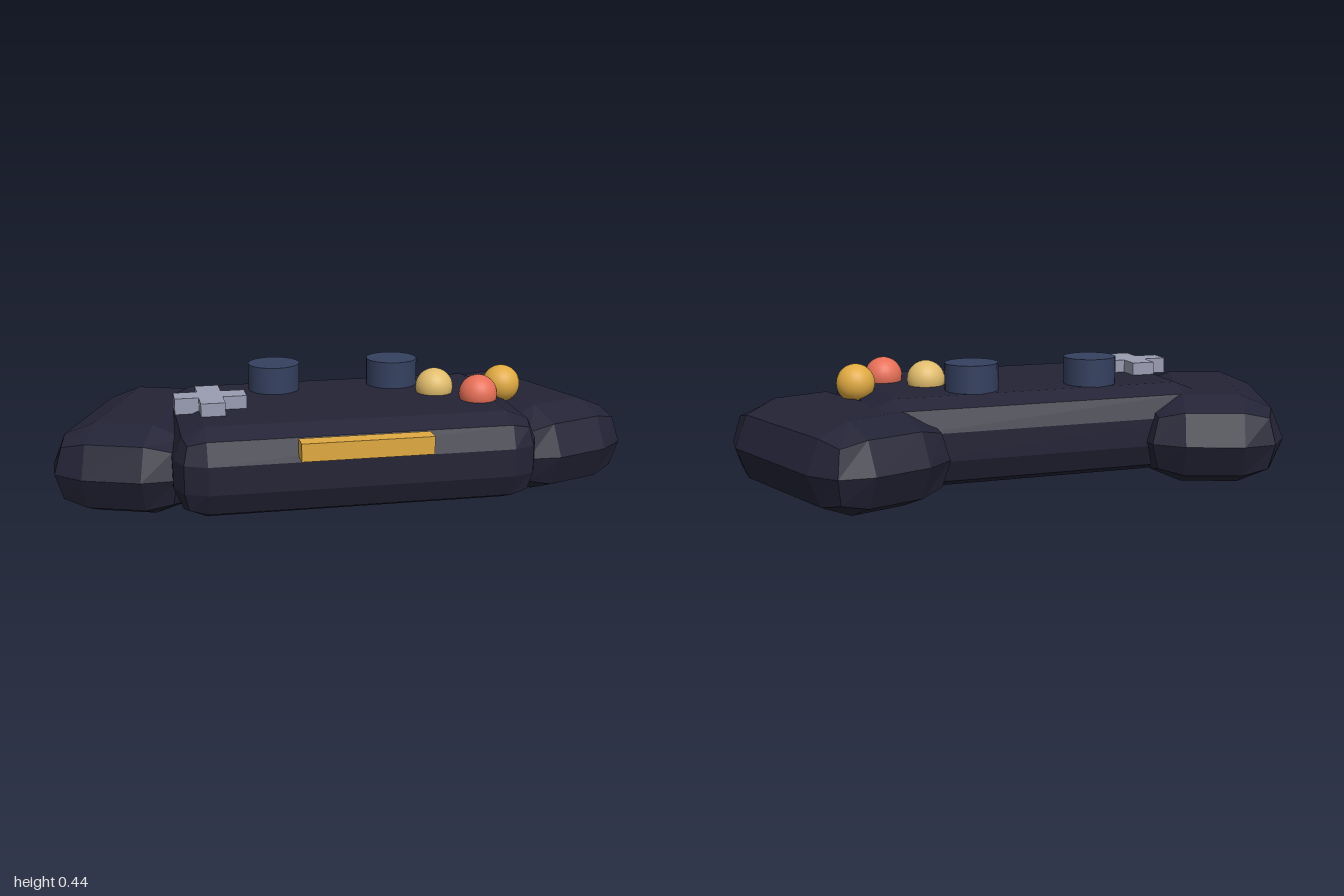
import * as THREE from 'three';
import { RoundedBoxGeometry } from 'three/addons/geometries/RoundedBoxGeometry.js';

const mat = (name, color, flatShading = false) => {
  const m = new THREE.MeshStandardMaterial({ color, flatShading });
  m.name = name;
  return m;
};

export function createModel() {
  const group = new THREE.Group();
  const shell = mat('shellNavy', 0x232336, true);
  const slate = mat('stickSlate', 0x35405f);
  const grey = mat('padGrey', 0x9a9cb2);
  const gold = mat('gold', 0xe0aa42);
  const cream = mat('paleGold', 0xe0bc6c);
  const coral = mat('coral', 0xe87058);

  const add = (name, geometry, material, x, y, z) => {
    const mesh = new THREE.Mesh(geometry, material);
    mesh.name = name;
    mesh.position.set(x, y, z);
    group.add(mesh);
    return mesh;
  };

  // Box with coarse two-facet bevels
  const bevelBox = (w, h, d, r) => {
    const g = new RoundedBoxGeometry(w, h, d, 1, r);
    g.computeVertexNormals();
    return g;
  };

  // Central body
  add('body', bevelBox(1.23, 0.305, 0.75, 0.105), shell, 0, 0.1875, 0.07);

  // Splayed grips and thumb sticks, mirrored
  for (const [side, s] of [['left', 1], ['right', -1]]) {
    const grip = add(side + 'Grip', bevelBox(0.51, 0.31, 0.8, 0.1549), shell, s * 0.677, 0.155, -0.087);
    grip.rotation.y = s * 0.349;
    add(side + 'Stick', new THREE.CylinderGeometry(0.092, 0.092, 0.135, 20), slate, s * 0.217, 0.3675, -0.113);
  }

  // Cross-shaped direction pad
  const a = 0.122, b = 0.041;
  const cross = new THREE.Shape([
    [-b, -a], [b, -a], [b, -b], [a, -b], [a, b], [b, b],
    [b, a], [-b, a], [-b, b], [-a, b], [-a, -b], [-b, -b],
  ].map(([x, y]) => new THREE.Vector2(x, y)));
  const padGeometry = new THREE.ExtrudeGeometry(cross, { depth: 0.055, bevelEnabled: false });
  padGeometry.rotateX(-Math.PI / 2);
  add('directionPad', padGeometry, grey, -0.468, 0.33, 0.1);

  // Ball buttons
  const ball = new THREE.SphereGeometry(0.067, 24, 16);
  add('innerButton', ball, cream, 0.338, 0.358, 0.04);
  add('frontButton', ball, coral, 0.462, 0.358, 0.166);
  add('outerButton', ball, gold, 0.587, 0.358, 0.041);

  // Light bar on the front edge
  add('frontBar', new THREE.BoxGeometry(0.436, 0.06, 0.062), gold, 0, 0.281, 0.463);

  return group;
}
